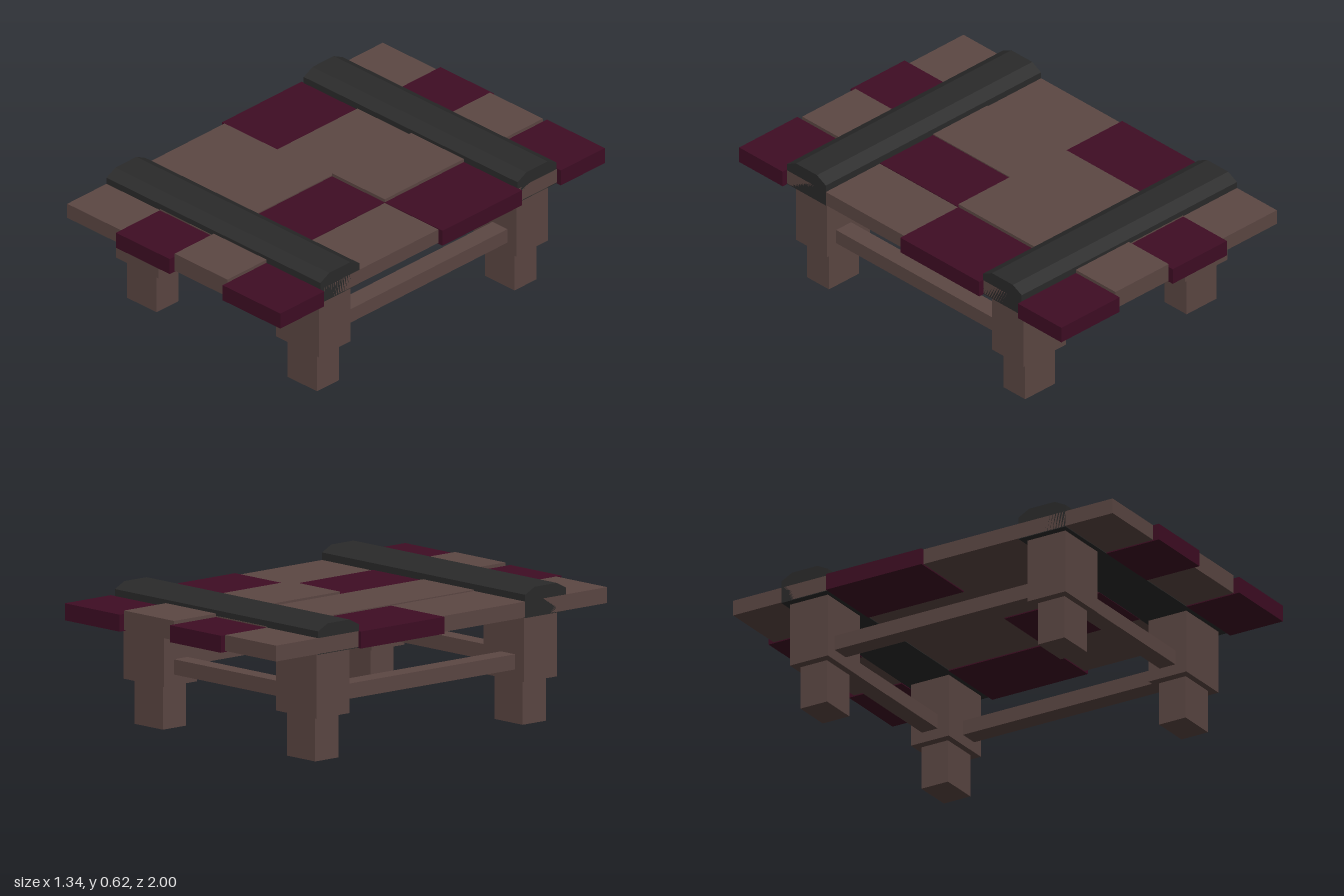
import * as THREE from 'three';

const material = (color) => new THREE.MeshStandardMaterial({ color, flatShading: true });

export function createModel() {
  const table = new THREE.Group();
  const wood = material(0x5c4743);
  const stained = material(0x3f0d24);
  const iron = material(0x2a2a2a);

  // Box given by its minimum and maximum on each axis
  const box = (name, mat, [x0, x1], [y0, y1], [z0, z1]) => {
    const mesh = new THREE.Mesh(new THREE.BoxGeometry(x1 - x0, y1 - y0, z1 - z0), mat);
    mesh.name = name;
    mesh.position.set((x0 + x1) / 2, (y0 + y1) / 2, (z0 + z1) / 2);
    table.add(mesh);
  };

  // Table top: four plank columns, each cut into plain lengths
  const edges = [-0.655, -0.33, -0.005, 0.315, 0.64];
  const tops = [0.56, 0.565, 0.575, 0.557];
  const plain = [
    [[-0.975, -0.49], [0, 0.97]],
    [[-0.73, 0.73]],
    [[-0.975, 0], [0.49, 0.97]],
    [[-0.73, -0.49], [0, 0.73]],
  ];
  plain.forEach((lengths, i) => lengths.forEach((z) =>
    box('plank', wood, [edges[i], edges[i + 1]], [0.49, tops[i]], z)));

  // Stained boards, slightly proud of the table's rim
  const boards = [
    [-0.67, -0.33, -0.49, 0],
    [-0.33, -0.005, -1, -0.73],
    [-0.33, -0.005, 0.73, 1],
    [-0.005, 0.315, 0, 0.49],
    [0.315, 0.665, -1, -0.73],
    [0.315, 0.665, -0.49, 0],
    [0.315, 0.665, 0.73, 1],
  ];
  for (const [x0, x1, z0, z1] of boards) {
    box('stainedBoard', stained, [x0, x1], [0.485, 0.56], [z0, z1]);
  }

  // Chamfered straps across the top
  const profile = new THREE.Shape([
    [-0.12, 0.487], [0.12, 0.487], [0.12, 0.59], [0.065, 0.618], [-0.065, 0.618], [-0.12, 0.59],
  ].map(([x, y]) => new THREE.Vector2(x, y)));
  const strapGeometry = new THREE.ExtrudeGeometry(profile, { depth: 1.295, bevelEnabled: false });
  strapGeometry.rotateY(Math.PI / 2);
  for (const side of [-1, 1]) {
    const strap = new THREE.Mesh(strapGeometry, iron);
    strap.name = 'strap';
    strap.position.set(-0.655, 0, side * 0.608);
    table.add(strap);
  }

  // Stepped legs
  for (const x of [-0.4915, 0.48]) {
    for (const z of [-0.609, 0.609]) {
      box('upperLeg', wood, [x - 0.129, x + 0.129], [0.197, 0.49], [z - 0.097, z + 0.097]);
      box('lowerLeg', wood, [x - 0.09, x + 0.09], [0, 0.197], [z - 0.068, z + 0.068]);
    }
  }

  // Rails between the legs
  for (const side of [-1, 1]) {
    const x = side * 0.515 - 0.005;
    const z = side * 0.609;
    box('sideRail', wood, [x - 0.045, x + 0.045], [0.245, 0.312], [-0.52, 0.52]);
    box('crossRail', wood, [-0.37, 0.36], [0.245, 0.312], [z - 0.04, z + 0.04]);
  }

  return table;
}
